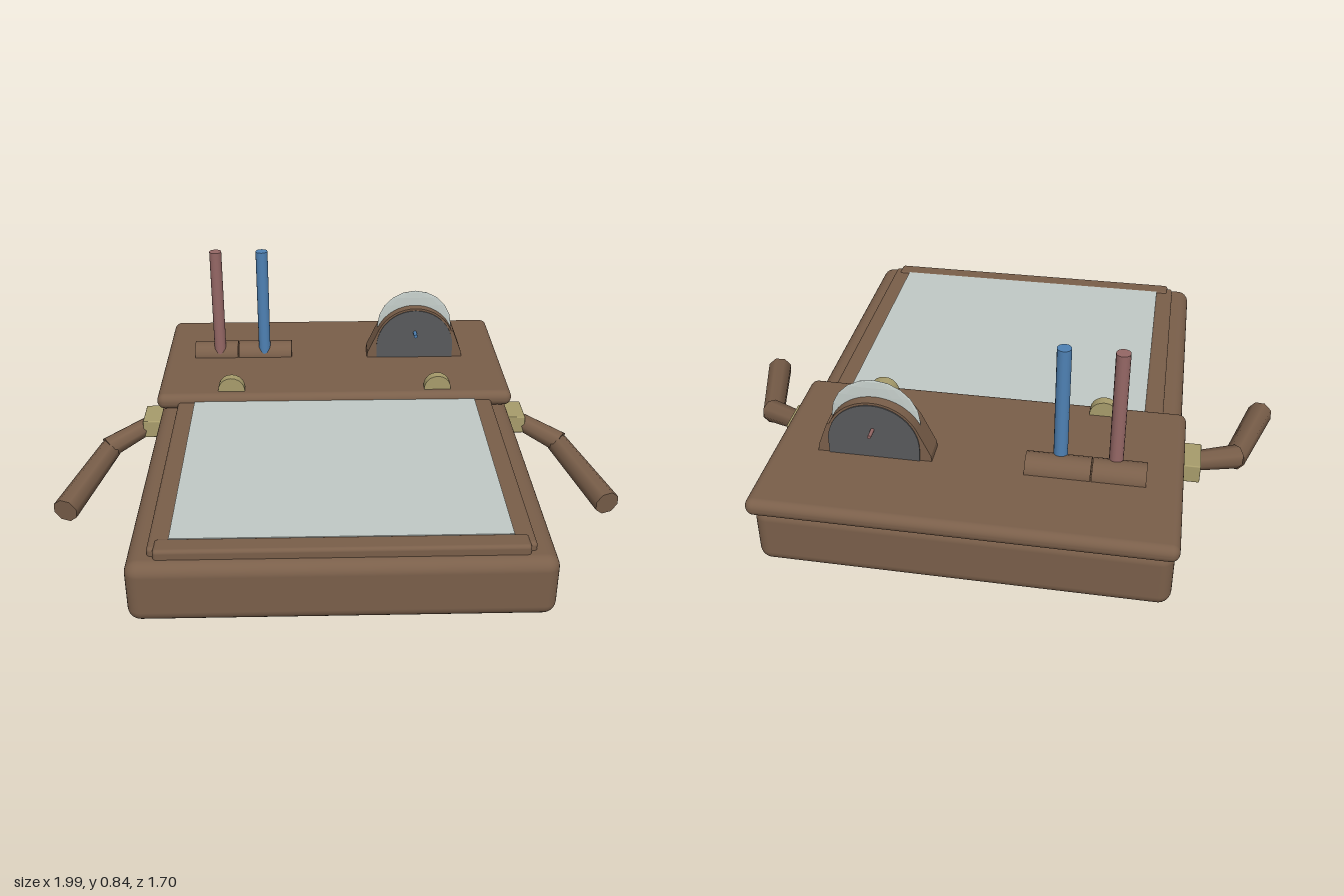
import * as THREE from 'three';
import { RoundedBoxGeometry } from 'three/addons/geometries/RoundedBoxGeometry.js';

const mat = (name, color) => {
  const m = new THREE.MeshStandardMaterial({ color });
  m.name = name;
  return m;
};

export function createModel() {
  const brown = mat('brown', 0x7a5f4a);
  const brass = mat('brass', 0xa89d6c);
  const blue = mat('blue', 0x4f82b5);
  const pink = mat('dusty pink', 0x966866);
  const grey = mat('dark grey', 0x595a5c);
  const pale = mat('pale grey', 0xc2cbc7);
  const palefacet = pale.clone();
  palefacet.name = 'pale grey faceted';
  palefacet.flatShading = true;
  const model = new THREE.Group();
  model.name = 'drawingConsole';

  const add = (name, geo, material, x = 0, y = 0, z = 0, parent = model) => {
    const mesh = new THREE.Mesh(geo, material);
    mesh.name = name;
    mesh.position.set(x, y, z);
    parent.add(mesh);
    return mesh;
  };
  // Box given by its min and max corners, rounded when r > 0
  const box = (name, material, [x0, y0, z0], [x1, y1, z1], r = 0) => {
    const s = [x1 - x0, y1 - y0, z1 - z0];
    const geo = r ? new RoundedBoxGeometry(...s, 4, r) : new THREE.BoxGeometry(...s);
    return add(name, geo, material, (x0 + x1) / 2, (y0 + y1) / 2, (z0 + z1) / 2);
  };
  // Cylinder between two points
  const rod = (name, material, a, b, r0, r1 = r0, sides = 16, roll = 0) => {
    const p = new THREE.Vector3(...a), q = new THREE.Vector3(...b);
    const dir = q.clone().sub(p);
    const geo = new THREE.CylinderGeometry(r1, r0, dir.length(), sides);
    geo.rotateY(roll);
    const mid = p.add(q).multiplyScalar(0.5);
    const mesh = add(name, geo, material, mid.x, mid.y, mid.z);
    mesh.quaternion.setFromUnitVectors(new THREE.Vector3(0, 1, 0), dir.normalize());
    return mesh;
  };

  // Case and rear deck
  box('body', brown, [-0.655, 0.135, -0.82], [0.655, 0.345, 0.848], 0.042);
  box('rearDeck', brown, [-0.667, 0.34, -0.85], [0.667, 0.4, -0.142], 0.028);

  // Screen with its raised frame
  for (const s of [-1, 1]) {
    const [a, b] = [s * 0.52, s * 0.588].sort((p, q) => p - q);
    box('frameSide', brown, [a, 0.33, -0.2], [b, 0.372, 0.79], 0.012);
  }
  box('frameFront', brown, [-0.568, 0.33, 0.74], [0.568, 0.376, 0.81], 0.012);
  box('screen', pale, [-0.525, 0.368, -0.16], [0.525, 0.3765, 0.745]);

  // Half-round rod holder, in two blocks
  for (const [x0, x1] of [[-0.55, -0.379], [-0.375, -0.165]]) {
    const half = new THREE.CylinderGeometry(0.05, 0.05, x1 - x0, 20);
    half.rotateZ(Math.PI / 2);
    add('rodHolder', half, brown, (x0 + x1) / 2, 0.398, -0.524);
  }
  // Two upright rods that pass through the case
  rod('pinkRod', pink, [-0.45, 0, -0.5], [-0.45, 0.838, -0.5], 0.023);
  rod('blueRod', blue, [-0.273, 0, -0.5], [-0.273, 0.838, -0.5], 0.023);

  // Dial housing: a flared arch
  const dial = new THREE.Group();
  dial.name = 'dial';
  dial.position.set(0.325, 0, -0.512);
  model.add(dial);
  const arch = new THREE.Shape();
  arch.moveTo(-0.19, 0.39);
  arch.lineTo(0.19, 0.39);
  arch.lineTo(0.187, 0.42);
  arch.lineTo(0.153, 0.51);
  arch.absarc(0, 0.448, 0.158, 0.4, Math.PI - 0.4, false);
  arch.lineTo(-0.187, 0.42);
  arch.closePath();
  const depth = 0.086;
  add('dialHousing', new THREE.ExtrudeGeometry(arch, { depth, bevelEnabled: false, curveSegments: 20 }),
    brown, 0, 0, -depth / 2, dial);

  // Grey faces on both sides of the housing
  const face = new THREE.Shape();
  face.moveTo(-0.15, 0.395);
  face.lineTo(0.15, 0.395);
  face.absarc(0, 0.447, 0.151, 0, Math.PI, false);
  face.closePath();
  for (const z of [-depth / 2 - 0.004, depth / 2 - 0.002]) {
    add('dialFace', new THREE.ExtrudeGeometry(face, { depth: 0.006, bevelEnabled: false, curveSegments: 20 }),
      grey, 0, 0, z, dial);
  }
  // Thin lens-shaped wheel rising from the housing
  const wheel = new THREE.SphereGeometry(0.147, 18, 10);
  wheel.scale(1, 1, 0.06);
  add('dialWheel', wheel, palefacet, 0, 0.518, 0, dial);
  // Axle with a blue front and a pink rear
  rod('axleFront', blue, [0.325, 0.506, -0.51], [0.325, 0.506, -0.425], 0.007, 0.007, 10);
  rod('axleRear', pink, [0.325, 0.506, -0.6], [0.325, 0.506, -0.51], 0.006, 0.006, 10);

  // Half-disc brass stops at the front of the deck
  for (const s of [-1, 1]) {
    const stop = new THREE.CylinderGeometry(0.05, 0.05, 0.035, 20);
    stop.rotateX(Math.PI / 2);
    add('brassStop', stop, brass, s * 0.388, 0.404, -0.195);
  }

  // Side brackets and bent arms
  for (const s of [-1, 1]) {
    box('armBracket', brass, [s > 0 ? 0.64 : -0.728, 0.217, -0.292], [s > 0 ? 0.728 : -0.64, 0.285, -0.16], 0.004);
    rod('upperArm', brown, [s * 0.7, 0.25, -0.215], [s * 0.855, 0.205, -0.105], 0.034, 0.042, 8);
    rod('forearm', brown, [s * 0.848, 0.198, -0.115], [s * 0.955, 0.157, 0.25], 0.04, 0.046, 8);
  }
  return model;
}
